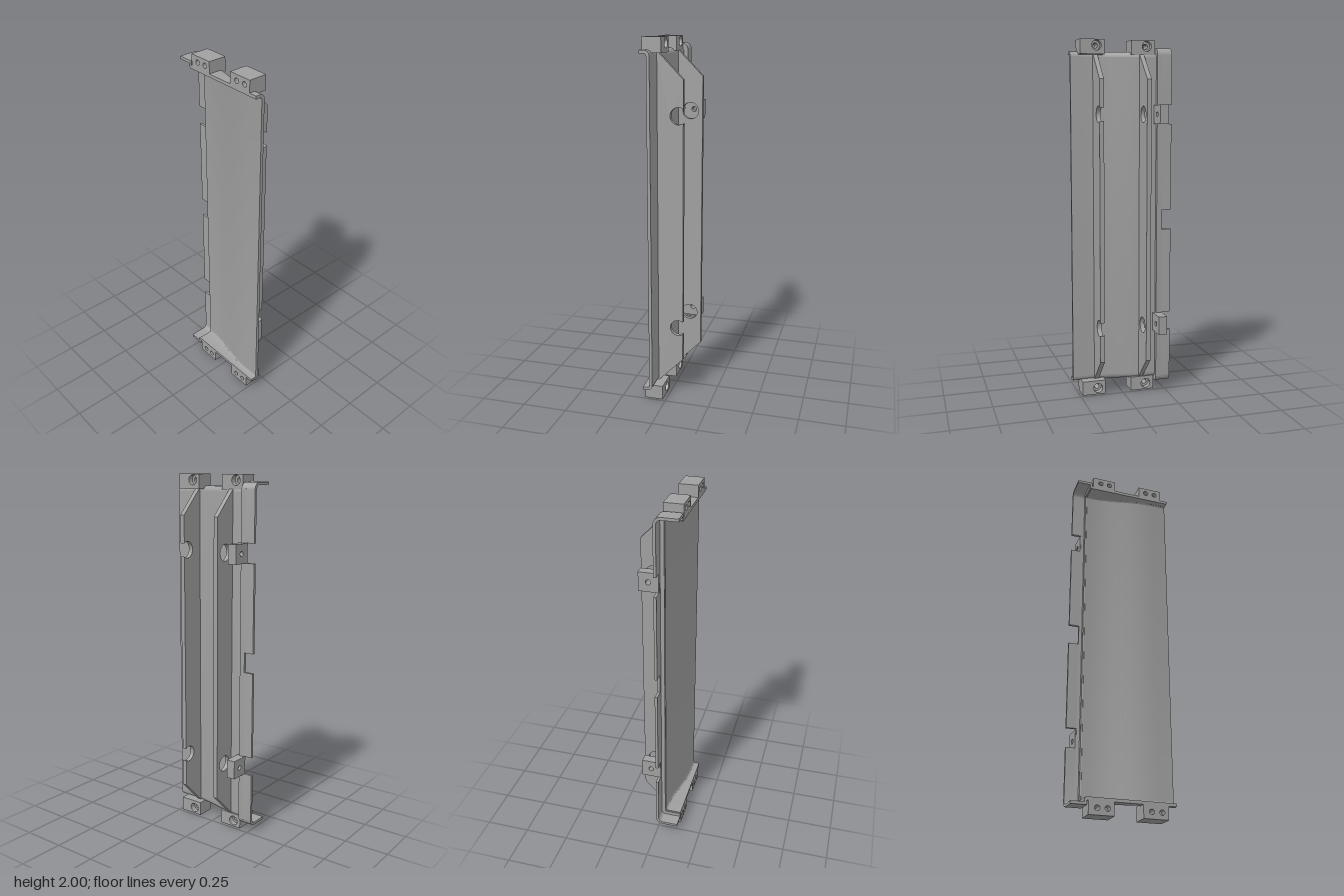
import * as THREE from 'three';
import { toCreasedNormals } from 'three/addons/utils/BufferGeometryUtils.js';

const grey = new THREE.MeshStandardMaterial({ color: 0xa0a0a0 });
grey.name = 'plain grey';

export function createModel() {
  const group = new THREE.Group();

  const add = (name, geo) => {
    const mesh = new THREE.Mesh(toCreasedNormals(geo, 0.6), grey);
    mesh.name = name;
    group.add(mesh);
    return mesh;
  };
  const box = (name, x0, x1, y0, y1, z0, z1) =>
    add(name, new THREE.BoxGeometry(x1 - x0, y1 - y0, z1 - z0)
      .translate((x0 + x1) / 2, (y0 + y1) / 2, (z0 + z1) / 2));
  // Extrude an x-y outline between two z values
  const extrude = (shape, z0, z1, steps = 1) =>
    new THREE.ExtrudeGeometry(shape, { depth: z1 - z0, steps, bevelEnabled: false, curveSegments: 12 })
      .translate(0, 0, z0);
  const circle = (x, y, r) => new THREE.Path().absarc(x, y, r, 0, Math.PI * 2, true);
  const poly = (pts) => new THREE.Shape(pts.map((p) => new THREE.Vector2(...p)));

  const BACK = -0.12;
  // Channel outline: long web at x, end flanges reaching back, rounded corners
  const channel = (x, y0, y1, t, r) => {
    const s = new THREE.Shape();
    const q = Math.max(r - t, 0.004);
    s.moveTo(BACK, y0);
    s.lineTo(x - r, y0);
    s.absarc(x - r, y0 + r, r, -Math.PI / 2, 0, false);
    s.lineTo(x, y1 - r);
    s.absarc(x - r, y1 - r, r, 0, Math.PI / 2, false);
    s.lineTo(BACK, y1);
    s.lineTo(BACK, y1 - t);
    s.absarc(x - t - q, y1 - t - q, q, Math.PI / 2, 0, true);
    s.absarc(x - t - q, y0 + t + q, q, 0, -Math.PI / 2, true);
    s.lineTo(BACK, y0 + t);
    s.closePath();
    return s;
  };

  // Main panel: shallow channel whose web swings outward toward the back
  const panel = extrude(channel(-0.066, 0.07, 1.937, 0.017, 0.03), -0.2, 0.28, 24);
  const p = panel.attributes.position;
  for (let i = 0; i < p.count; i++) {
    const swing = 0.052 * THREE.MathUtils.smoothstep(-p.getZ(i), -0.19, 0.17);
    const weight = THREE.MathUtils.clamp((p.getX(i) - BACK) / 0.024, 0, 1);
    p.setX(i, p.getX(i) + swing * weight);
  }
  add('panel', panel);

  // Back lip: stepped-out channel with three notches in its outer half
  add('lipStep', extrude(channel(0.008, 0.047, 1.96, 0.036, 0.04), -0.208, -0.196));
  add('lipInner', extrude(channel(0.008, 0.047, 1.96, 0.015, 0.04), -0.225, -0.2));
  const lipEnd = (name, flip) => {
    const Y = (y) => (flip ? 2.007 - y : y);
    const pts = [[BACK, 1.96]];
    for (let i = 0; i <= 8; i++) {
      const a = Math.PI / 2 * (1 - i / 8);
      pts.push([-0.032 + 0.04 * Math.cos(a), 1.92 + 0.04 * Math.sin(a)]);
    }
    const cut = flip ? 2.007 - 0.36 : 1.65;
    pts.push([0.008, cut], [-0.007, cut]);
    for (let i = 0; i <= 8; i++) {
      const a = Math.PI / 2 * (i / 8);
      pts.push([-0.032 + 0.025 * Math.cos(a), 1.92 + 0.025 * Math.sin(a)]);
    }
    pts.push([BACK, 1.945]);
    add(name, extrude(poly(pts.map(([x, y]) => [x, Y(y)])), -0.28, -0.225));
  };
  lipEnd('lipTop', false);
  lipEnd('lipBottom', true);
  box('lipUpperMiddle', -0.007, 0.008, 1.06, 1.545, -0.28, -0.225);
  box('lipLowerMiddle', -0.007, 0.008, 0.465, 0.95, -0.28, -0.225);

  const bossY = [0.41, 1.597];

  // Back rib with two round holes
  const backRib = poly([[-0.03, 0.075], [-0.02, 0.08], [0.118, 0.22], [0.118, 1.785], [-0.02, 1.925], [-0.03, 1.93]]);
  bossY.forEach((y) => backRib.holes.push(circle(0.05, y, 0.045)));
  add('backRib', extrude(backRib, -0.125, -0.1));

  // Front rib, shorter, with holes that break through its edge
  const frontRib = new THREE.Shape();
  frontRib.moveTo(-0.072, 1.925);
  frontRib.lineTo(-0.072, 0.08);
  frontRib.lineTo(-0.06, 0.08);
  frontRib.lineTo(0.077, 0.22);
  const a = Math.acos(0.027 / 0.045);
  bossY.forEach((y) => frontRib.absarc(0.05, y, 0.045, -a, a - Math.PI * 2, true));
  frontRib.lineTo(0.077, 1.785);
  frontRib.lineTo(-0.06, 1.925);
  frontRib.closePath();
  add('frontRib', extrude(frontRib, 0.13, 0.155));

  // Drilled bosses on the lip
  bossY.forEach((y) => {
    const s = poly([[-0.005, y - 0.052], [0.102, y - 0.052], [0.102, y + 0.052], [-0.005, y + 0.052]]);
    s.holes.push(circle(0.05, y, 0.014));
    add('boss', extrude(s, -0.23, -0.18));
  });

  // Mounting blocks: counterbored through hole plus a blind hole behind
  const blockLayer = (y0, z0, z1, x0, x1, holes) => {
    const s = poly([[-z1, y0], [-z0, y0], [-z0, y0 + 0.08], [-z1, y0 + 0.08]]);
    holes.forEach(([z, y, r]) => s.holes.push(circle(-z, y, r)));
    add('mountingBlock', extrude(s, x0, x1).rotateY(Math.PI / 2));
  };
  for (const [z0, z1, hz, blind] of [[0.1, 0.236, 0.145, 0.2], [-0.188, -0.053, -0.142, -0.088]]) {
    for (const [y0, hy] of [[0, 0.036], [1.92, 1.968]]) {
      blockLayer(y0, z0, z1, BACK, -0.08, [[hz, hy, 0.014], [blind, hy, 0.014]]);
      blockLayer(y0, z0, z1, -0.08, -0.05, [[hz, hy, 0.014]]);
      blockLayer(y0, z0, z1, -0.05, -0.018, [[hz, hy, 0.027]]);
    }
  }
  return group;
}
